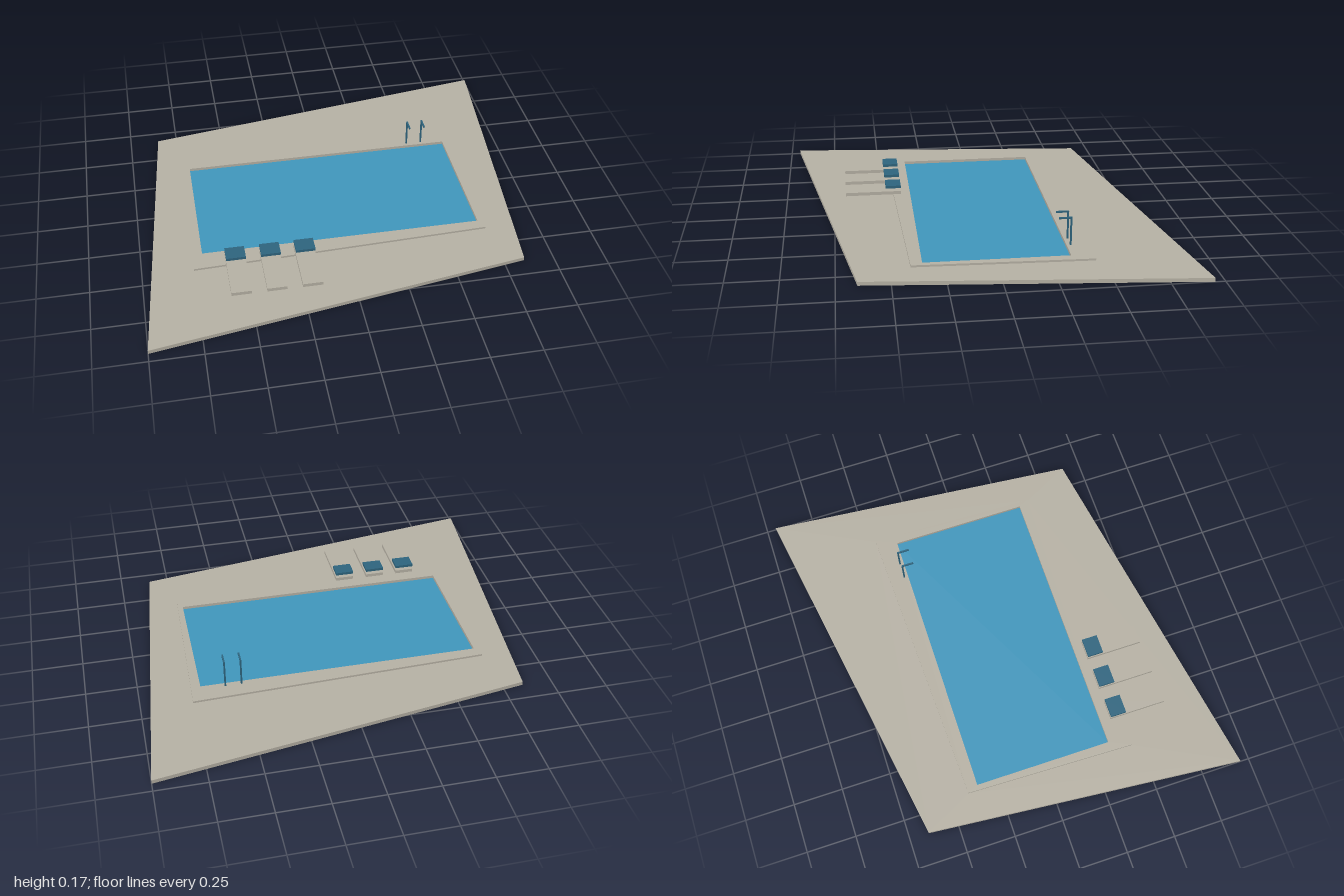
import * as THREE from 'three';

export function createModel() {
  const group = new THREE.Group();
  const mat = (name, color) => {
    const m = new THREE.MeshStandardMaterial({ color });
    m.name = name;
    return m;
  };
  const stone = mat('warm stone', 0xb7b2a5);
  const blue = mat('pool water', 0x4097bd);
  const navy = mat('deep blue', 0x2e657f);

  const add = (name, geometry, material, parent = group) => {
    const mesh = new THREE.Mesh(geometry, material);
    mesh.name = name;
    parent.add(mesh);
    return mesh;
  };
  const box = (name, size, pos, material, parent) =>
    add(name, new THREE.BoxGeometry(...size), material, parent).position.set(...pos);

  // Flat slab with an opening, outlines given as [x, z] corners
  const points = (list) => list.map(([x, z]) => new THREE.Vector2(x, z));
  const slab = (name, outline, hole, bottom, top) => {
    const shape = new THREE.Shape(points(outline));
    shape.holes.push(new THREE.Path(points(hole)));
    const geometry = new THREE.ExtrudeGeometry(shape, { depth: top - bottom, bevelEnabled: false });
    geometry.rotateX(Math.PI / 2).translate(0, top, 0);
    add(name, geometry, stone);
  };

  const deckOutline = [[-0.85, -0.652], [1, -0.952], [0.85, 0.652], [-1, 0.952]];
  const copingOutline = [[-0.725, -0.405], [0.75, -0.458], [0.725, 0.405], [-0.75, 0.458]];
  const poolOutline = [[-0.7, -0.35], [0.7, -0.35], [0.7, 0.35], [-0.7, 0.35]];

  // Skewed deck, raised pool edge and water
  slab('deck', deckOutline, copingOutline, 0, 0.019);
  slab('poolCoping', copingOutline, poolOutline, 0.009, 0.029);
  box('water', [1.4, 0.004, 0.7], [0, 0.012, 0], blue);

  // Loungers with a floating head cushion
  for (const x of [-0.545, -0.375, -0.205]) {
    const lounger = new THREE.Group();
    lounger.name = 'lounger';
    lounger.position.x = x;
    group.add(lounger);
    box('loungerBase', [0.096, 0.017, 0.29], [0, 0.05, 0.545], stone, lounger);
    box('headCushion', [0.096, 0.014, 0.08], [0, 0.082, 0.44], navy, lounger);
  }

  // Ladder handrails reaching over the water
  for (const x of [0.5, 0.58]) {
    const rail = new THREE.Group();
    rail.name = 'ladderRail';
    rail.position.x = x;
    group.add(rail);
    box('railPost', [0.008, 0.144, 0.008], [0, 0.1, -0.37], navy, rail);
    box('railArm', [0.008, 0.008, 0.064], [0, 0.169, -0.342], navy, rail);
  }

  return group;
}
